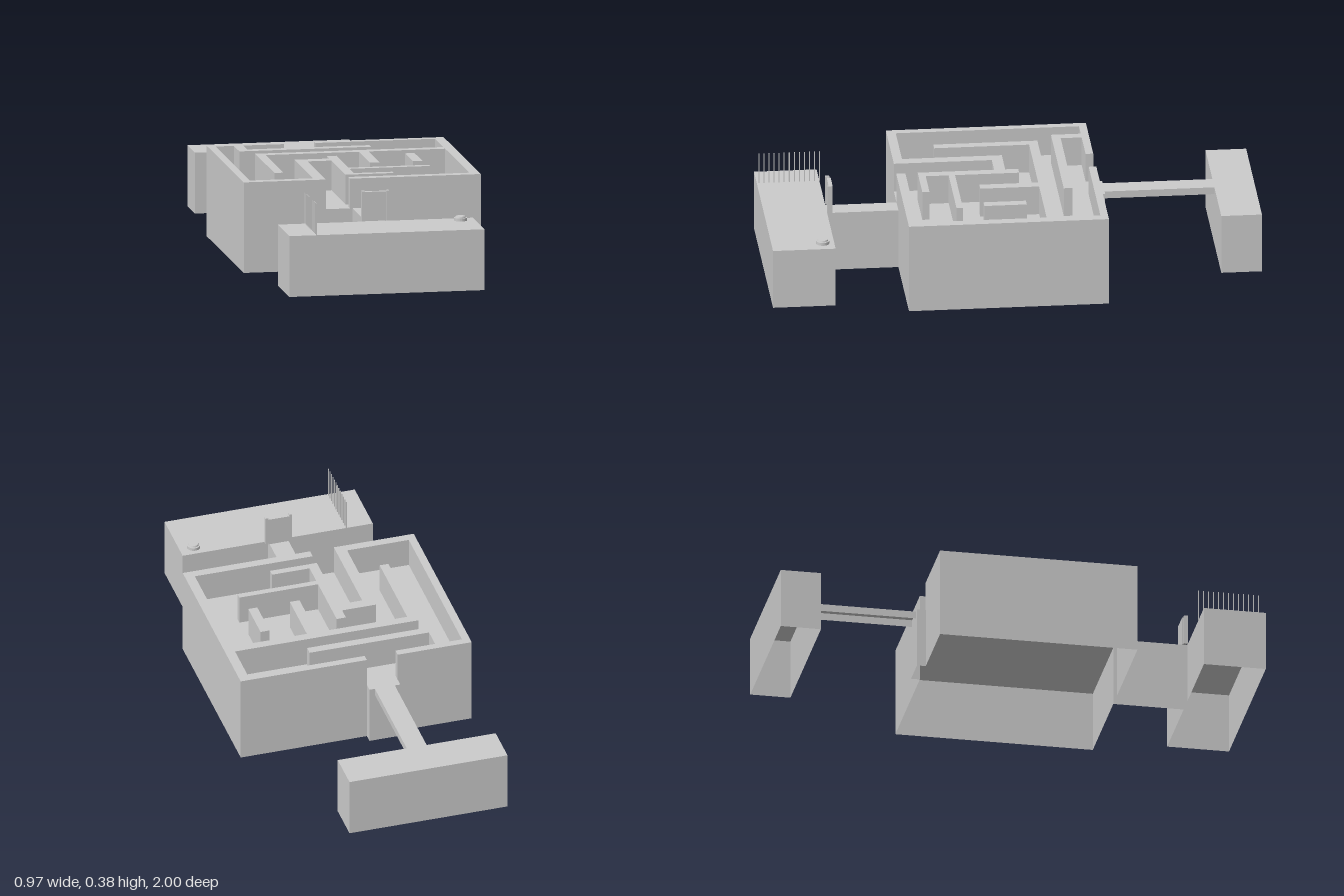
import * as THREE from 'three';

const material = new THREE.MeshStandardMaterial({ color: 0xcccccc, flatShading: true, side: THREE.DoubleSide });
const FLOOR = 0.25, TOP = 0.372;

// Plan outlines are lists of [x, z]
const planShape = (pts) => new THREE.Shape(pts.map(([x, z]) => new THREE.Vector2(x, -z)));

export function createModel() {
  const model = new THREE.Group();

  function add(name, geometry, x = 0, y = 0, z = 0) {
    const mesh = new THREE.Mesh(geometry, material);
    mesh.name = name;
    mesh.position.set(x, y, z);
    model.add(mesh);
    return mesh;
  }

  function box(name, x0, x1, y0, y1, z0, z1) {
    return add(name, new THREE.BoxGeometry(x1 - x0, y1 - y0, z1 - z0),
      (x0 + x1) / 2, (y0 + y1) / 2, (z0 + z1) / 2);
  }

  // Hollow platform: a flat top and a thin skirt, open underneath
  function platform(name, pts, y0, y1) {
    add(name + 'Top', new THREE.ShapeGeometry(planShape(pts)).rotateX(-Math.PI / 2), 0, y1, 0);
    const v = [];
    pts.forEach(([ax, az], i) => {
      const [bx, bz] = pts[(i + 1) % pts.length];
      v.push(ax, y0, az, bx, y0, bz, bx, y1, bz, ax, y0, az, bx, y1, bz, ax, y1, az);
    });
    const skirt = new THREE.BufferGeometry();
    skirt.setAttribute('position', new THREE.Float32BufferAttribute(v, 3));
    skirt.computeVertexNormals();
    add(name + 'Skirt', skirt);
  }

  // Maze wall: a plan outline raised from the floor
  function wall(name, pts) {
    const geometry = new THREE.ExtrudeGeometry(planShape(pts), { depth: TOP - FLOOR, bevelEnabled: false });
    add(name, geometry.rotateX(-Math.PI / 2), 0, FLOOR, 0);
  }

  const rect = (x0, x1, z0, z1) => [[x0, z1], [x1, z1], [x1, z0], [x0, z0]];

  // Front platform, walkway, maze base and rear porch share one hollow footprint
  platform('mainBase', [
    [-0.402, 1], [0.4, 1], [0.4, 0.746], [0.04, 0.746], [0.04, 0.457], [0.487, 0.457],
    [0.487, -0.354], [-0.045, -0.354], [-0.045, -0.39], [-0.175, -0.39], [-0.175, -0.354],
    [-0.487, -0.354], [-0.487, 0.457], [-0.04, 0.457], [-0.04, 0.746], [-0.402, 0.746],
  ], 0, FLOOR);

  // Rear bridge and platform
  platform('rearBridge', rect(-0.152, -0.068, -0.835, -0.39), 0.22, FLOOR);
  platform('rearPlatform', rect(-0.443, 0.223, -1, -0.835), 0, FLOOR);

  // Maze walls on either side of the entrance and exit
  wall('rightMazeWall', [
    [-0.175, -0.354], [-0.487, -0.354], [-0.487, 0.457], [-0.15, 0.457], [-0.15, 0.06],
    [-0.052, 0.06], [-0.052, 0.37], [0.145, 0.37], [0.145, 0.341], [-0.013, 0.341],
    [-0.013, 0.248], [0.319, 0.248], [0.319, 0.222], [-0.013, 0.222], [-0.013, -0.038],
    [-0.052, -0.038], [-0.052, 0.015], [-0.195, 0.015], [-0.195, 0.42], [-0.455, 0.42],
    [-0.455, -0.323], [-0.38, -0.323], [-0.38, -0.202], [0.161, -0.202], [0.161, -0.238],
    [-0.342, -0.238], [-0.342, -0.323], [-0.175, -0.323],
  ]);
  wall('leftMazeWall', [
    [-0.045, -0.354], [0.487, -0.354], [0.487, 0.457], [-0.05, 0.457], [-0.05, 0.42],
    [0.447, 0.42], [0.447, -0.105], [0.133, -0.105], [0.133, 0.134], [0.092, 0.134],
    [0.092, -0.105], [-0.29, -0.105], [-0.29, 0.28], [-0.327, 0.28], [-0.327, -0.142],
    [0.447, -0.142], [0.447, -0.323], [-0.045, -0.323],
  ]);
  wall('mazePillar', rect(0.27, 0.308, -0.038, 0.134));

  // Door at the end of the walkway
  for (const s of [-1, 1]) {
    box('doorPost', s * 0.05 - 0.006, s * 0.05 + 0.006, FLOOR, 0.374, 0.729, 0.746);
  }
  box('doorPanel', -0.044, 0.044, FLOOR, 0.37, 0.724, 0.74);

  // Row of thin bars across the front platform
  for (let i = 0; i < 13; i++) {
    const z = 0.745 + i * 0.0205;
    box('bar', -0.291, -0.287, FLOOR, 0.378, z - 0.002, z + 0.002);
  }

  // Round push button
  add('buttonBase', new THREE.CylinderGeometry(0.027, 0.027, 0.012, 24), 0.34, FLOOR + 0.006, 0.793);
  add('buttonCap', new THREE.CylinderGeometry(0.019, 0.021, 0.006, 24), 0.34, FLOOR + 0.015, 0.793);

  return model;
}
